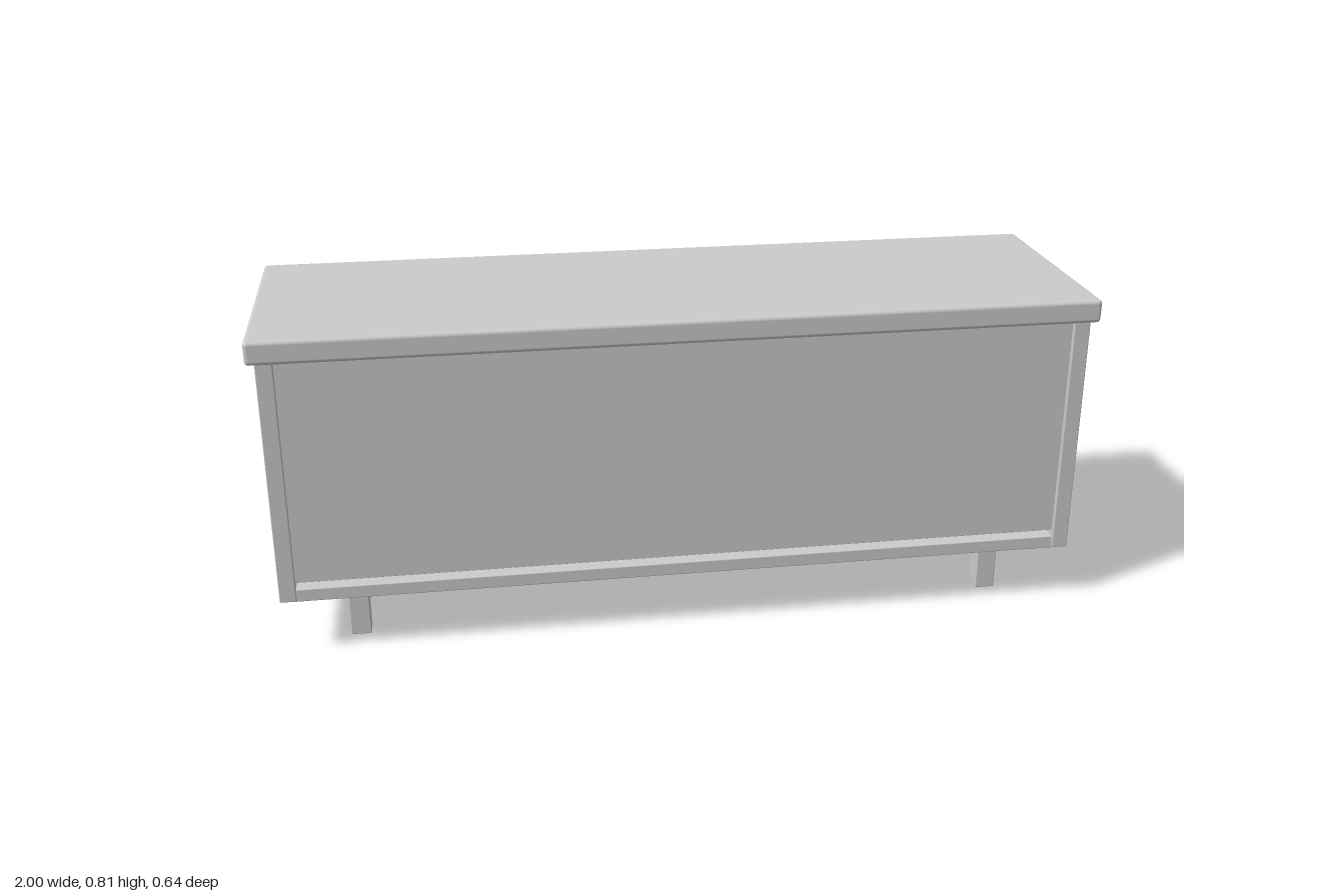
import * as THREE from 'three';
import { RoundedBoxGeometry } from 'three/addons/geometries/RoundedBoxGeometry.js';

const material = new THREE.MeshStandardMaterial({ color: 0xcccccc });

// Box given by its [min, max] range on each axis, with softly rounded edges
function board(name, [x0, x1], [y0, y1], [z0, z1], radius = 0.003) {
  const geometry = new RoundedBoxGeometry(x1 - x0, y1 - y0, z1 - z0, 3, radius);
  const mesh = new THREE.Mesh(geometry, material);
  mesh.name = name;
  mesh.position.set((x0 + x1) / 2, (y0 + y1) / 2, (z0 + z1) / 2);
  return mesh;
}

// Range on x, mirrored for the other side
const mirror = (side, a, b) => (side > 0 ? [a, b] : [-b, -a]);

export function createModel() {
  const model = new THREE.Group();
  model.name = 'mediaCabinet';

  // Carcass
  model.add(
    board('top', [-1, 1], [0.748, 0.805], [-0.285, 0.32], 0.01),
    board('base', [-0.945, 0.945], [0.142, 0.175], [-0.265, 0.302]),
    board('shelf', [-0.945, 0.945], [0.418, 0.45], [-0.265, 0.295]),
    board('backPanel', [-0.945, 0.945], [0.19, 0.75], [0.28, 0.296], 0.001)
  );

  for (const side of [-1, 1]) {
    const label = side > 0 ? 'left' : 'right';
    model.add(board(label + 'SidePanel', mirror(side, 0.94, 0.98), [0.145, 0.75], [-0.272, 0.307]));

    // Door with its bar handle
    const door = new THREE.Group();
    door.name = label + 'Door';
    door.add(
      board('doorPanel', mirror(side, 0.348, 0.967), [0.184, 0.737], [-0.293, -0.272]),
      board('handle', mirror(side, 0.567, 0.748), [0.65, 0.667], [-0.318, -0.292], 0.004)
    );
    model.add(door);

    // Legs
    for (const z of [-0.166, 0.201]) {
      model.add(board(label + 'Leg', mirror(side, 0.776, 0.826), [0, 0.146], [z - 0.026, z + 0.026]));
    }
  }

  // Stack of flat boxes in the open bay
  for (let i = 0; i < 3; i++) {
    const y = 0.19 + i * 0.065;
    model.add(board('mediaBox', [-0.235, 0.235], [y, y + 0.043], [-0.22, 0.12], 0.002));
  }

  return model;
}
